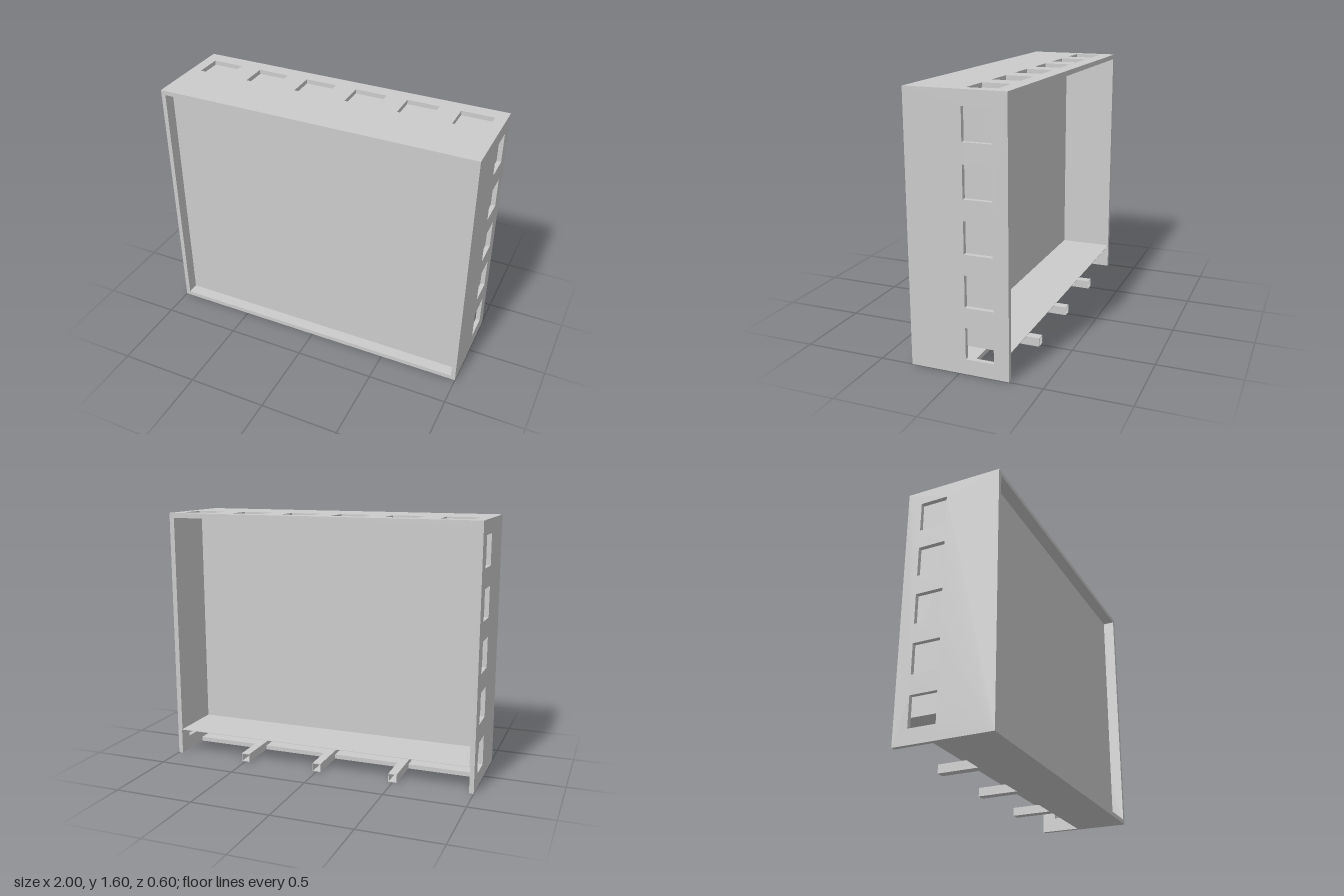
import * as THREE from 'three';

const W = 2, H = 1.6, D = 0.6, T = 0.028;   // overall size and wall thickness
const FLOOR = 0.165;                        // height of the inner floor
const BACK = 0.05;                          // z of the inner back sheet
const PANEL = 0.225;                        // z of the recessed front panel
const SLOT = [0.04, 0.21];                  // window range towards the back (-z)

export function createModel() {
  const group = new THREE.Group();
  const mat = new THREE.MeshStandardMaterial({ color: 0xcccccc, side: THREE.DoubleSide });

  const add = (name, geo) => {
    const mesh = new THREE.Mesh(geo, mat);
    mesh.name = name;
    group.add(mesh);
    return mesh;
  };

  // box given by its minimum and maximum corners
  const box = (name, a, b) => {
    const geo = new THREE.BoxGeometry(b[0] - a[0], b[1] - a[1], b[2] - a[2]);
    geo.translate((a[0] + b[0]) / 2, (a[1] + b[1]) / 2, (a[2] + b[2]) / 2);
    return add(name, geo);
  };

  const trace = (path, x0, y0, x1, y1) => {
    path.moveTo(x0, y0);
    path.lineTo(x1, y0);
    path.lineTo(x1, y1);
    path.lineTo(x0, y1);
    path.closePath();
    return path;
  };

  // rectangular plate with rectangular holes
  const plate = (rect, holes, depth) => {
    const shape = trace(new THREE.Shape(), ...rect);
    for (const h of holes) shape.holes.push(trace(new THREE.Path(), ...h));
    return new THREE.ExtrudeGeometry(shape, { depth, bevelEnabled: false });
  };

  // side walls with a column of five windows
  const sideHoles = [];
  for (let i = 0; i < 5; i++) {
    const y = 0.092 + i * 0.308;
    sideHoles.push([SLOT[0], y, SLOT[1], y + 0.188]);
  }
  for (const [name, x] of [['leftWall', W / 2 - T], ['rightWall', -W / 2]]) {
    const geo = plate([-D / 2, 0, D / 2, H], sideHoles, T);
    geo.rotateY(Math.PI / 2);
    geo.translate(x, 0, 0);
    add(name, geo);
  }

  // top wall with a row of six windows
  const topHoles = [];
  for (let i = 0; i < 6; i++) {
    const x = (i - 2.5) * 0.3327;
    topHoles.push([x - 0.1, SLOT[0], x + 0.1, SLOT[1]]);
  }
  const top = plate([-W / 2 + T, -D / 2, W / 2 - T, D / 2], topHoles, T);
  top.rotateX(-Math.PI / 2);
  top.translate(0, H - T, 0);
  add('topWall', top);

  // bottom board covers the front part only
  const xi = W / 2 - T, yi = H - T, s = 0.003;
  box('bottomBoard', [-xi, 0, -SLOT[0]], [xi, T, D / 2]);

  // recessed front panel
  box('frontPanel', [-xi, T, PANEL - 0.02], [xi, yi, PANEL]);

  // thin inner tray, open to the back
  box('trayFloor', [-xi, FLOOR - s, -D / 2], [xi, FLOOR, PANEL - 0.02]);
  box('trayCeiling', [-xi, yi - s, -D / 2], [xi, yi, BACK]);
  box('trayBack', [-xi, FLOOR, BACK], [xi, yi, BACK + s]);
  for (const [name, x] of [['trayLeftSide', xi - s], ['trayRightSide', -xi]]) {
    box(name, [x, FLOOR, -D / 2], [x + s, yi, BACK]);
  }

  // hollow square support tubes under the floor
  const t = 0.027, w = 0.004;
  for (const x of [-0.5, 0, 0.5]) {
    const geo = plate([-t, 0, t, 2 * t], [[-t + w, w, t - w, 2 * t - w]], D / 2 + PANEL - 0.02);
    geo.translate(x, 0, -D / 2);
    add('supportTube', geo);
  }
  return group;
}
